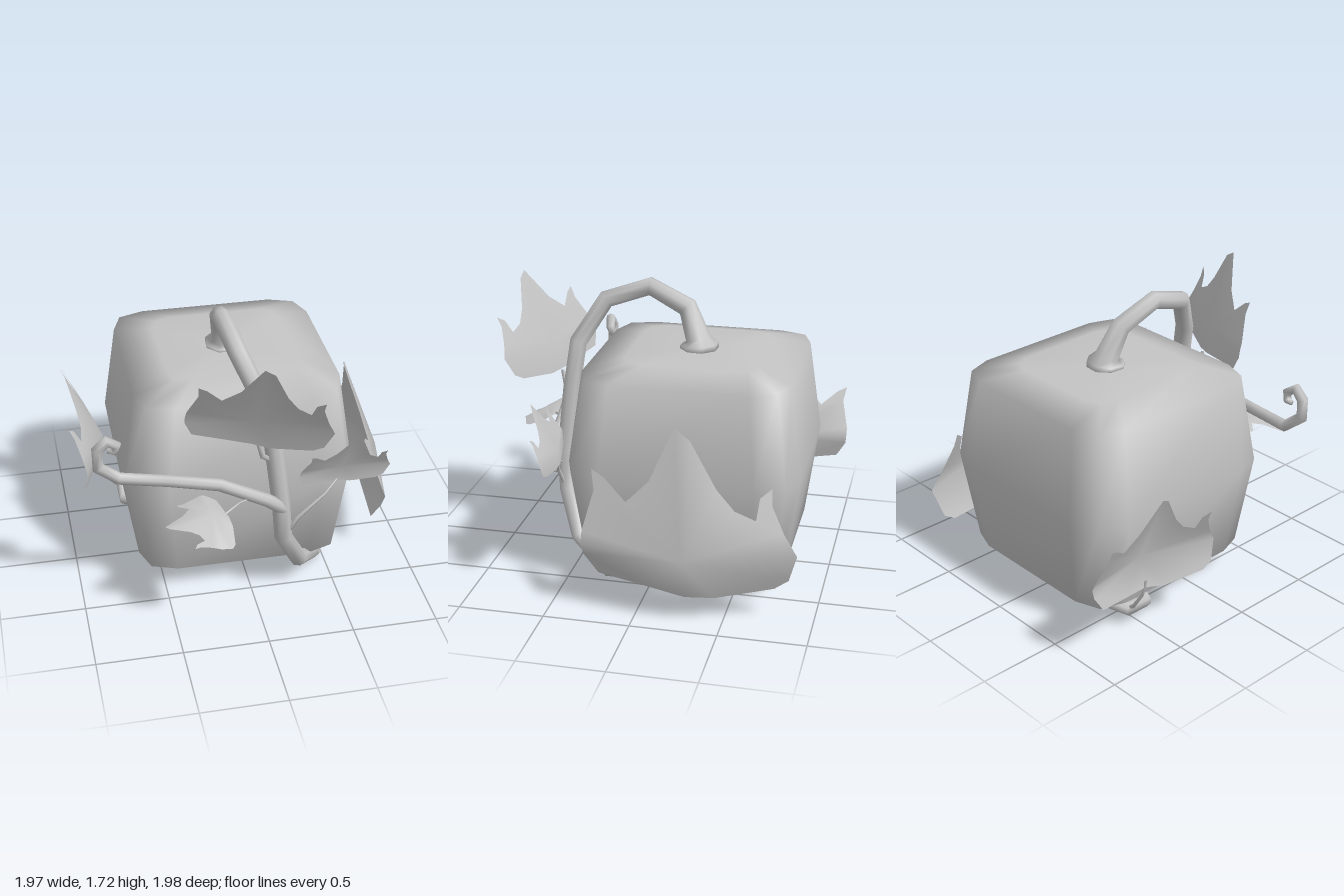
import * as THREE from 'three';
import { mergeGeometries, mergeVertices } from 'three/addons/utils/BufferGeometryUtils.js';

const V3 = (a) => new THREE.Vector3(a[0], a[1], a[2]);

// Skin a stack of equal-length closed rings, with a centre point closing each end
function skin(rings) {
  const n = rings[0].length, pos = [], idx = [];
  const mid = (ring) => ring.reduce((s, p) => s.add(p), new THREE.Vector3()).divideScalar(n);
  for (const ring of rings) for (const p of ring) pos.push(p.x, p.y, p.z);
  for (const ring of [rings[0], rings[rings.length - 1]]) pos.push(...mid(ring).toArray());
  const first = rings.length * n, top = (rings.length - 1) * n;
  for (let j = 0; j < n; j++) {
    const k = (j + 1) % n;
    for (let i = 0; i < rings.length - 1; i++) {
      const a = i * n + j, b = i * n + k;
      idx.push(a, b, b + n, a, b + n, a + n);
    }
    idx.push(first, k, j, first + 1, top + j, top + k);
  }
  const g = new THREE.BufferGeometry();
  g.setAttribute('position', new THREE.Float32BufferAttribute(pos, 3));
  g.setIndex(idx);
  g.computeVertexNormals();
  return g;
}

// Straight-segmented tube through [x, y, z, radius] points
function vineTube(pts, sides = 8) {
  const p = pts.map(V3), rings = [];
  const dir = new THREE.Vector3(), last = new THREE.Vector3();
  const side = new THREE.Vector3(), q = new THREE.Quaternion();
  p.forEach((c, i) => {
    dir.copy(p[Math.min(i + 1, p.length - 1)]).sub(p[Math.max(i - 1, 0)]).normalize();
    if (i === 0) side.set(0.31, 0.2, 0.93).cross(dir).normalize();
    else side.applyQuaternion(q.setFromUnitVectors(last, dir));
    last.copy(dir);
    rings.push(Array.from({ length: sides }, (_, j) =>
      side.clone().applyAxisAngle(dir, (j / sides) * Math.PI * 2).multiplyScalar(pts[i][3]).add(c)));
  });
  return skin(rings);
}

// Lobed leaf outline, in quarters around the hub at the origin
const leafQuarters = [
  [[0, 0], [1, 0], [0.87, 0.18], [0.75, 0.4], [0.74, 0.53], [0.64, 0.46], [0.62, 0.29], [0.43, 0.37], [0.26, 0.54], [0, 0.92]],
  [[0, 0], [0, 0.92], [-0.16, 1], [-0.36, 0.57], [-0.57, 0.38], [-0.8, 0.54], [-0.93, 0.59], [-0.89, 0.43], [-0.98, 0.1], [-0.98, 0]],
  [[0, 0], [-0.98, 0], [-0.97, -0.1], [-0.84, -0.29], [-0.36, -0.34], [0, -0.38]],
  [[0, 0], [0, -0.38], [0.26, -0.41], [0.79, -0.34], [0.92, -0.26], [1, 0]],
];

// Folded leaf: U runs across, V towards the tip, edges fall away against N, more on one side
function leafGeometry(hub, U, V, N) {
  const parts = leafQuarters.map((quarter) =>
    new THREE.ShapeGeometry(new THREE.Shape(quarter.map(([u, v]) => new THREE.Vector2(u, v)))));
  let g = mergeGeometries(parts);
  g.deleteAttribute('uv');
  g.deleteAttribute('normal');
  g = mergeVertices(g);
  const pos = g.attributes.position;
  for (let i = 0; i < pos.count; i++) {
    const u = pos.getX(i), v = pos.getY(i);
    const drop = (u < 0 ? 0.11 : 0.21) * Math.abs(u) + 0.25 * Math.abs(v);
    const p = V3(hub).addScaledVector(V3(U), u).addScaledVector(V3(V), v).addScaledVector(V3(N), -drop);
    pos.setXYZ(i, p.x, p.y, p.z);
  }
  g.computeVertexNormals();
  return g;
}

export function createModel() {
  const model = new THREE.Group();
  const grey = new THREE.MeshStandardMaterial({ color: 0xc4c4c4, side: THREE.DoubleSide });
  grey.name = 'pale grey';
  const add = (name, geometry) => {
    const mesh = new THREE.Mesh(geometry, grey);
    mesh.name = name;
    model.add(mesh);
  };

  // Square fruit with rounded corners, widest at the waist
  const corner = [[0.45, 0.68], [0.62, 0.62], [0.68, 0.45]];
  const square = [];
  for (let i = 0; i < 4; i++) {
    const c = [1, 0, -1, 0][i], s = [0, 1, 0, -1][i];
    for (const [x, z] of corner) square.push([x * c + z * s, z * c - x * s]);
  }
  const levels = [[0.13, 0.55], [0.16, 0.89], [0.72, 1], [1.265, 0.89], [1.32, 0.57]];
  add('fruit', skin(levels.map(([y, s]) =>
    square.map(([x, z]) => new THREE.Vector3(-0.03 + x * s, y, -0.18 + z * s)))));

  // Main vine: flared stem, over the front, then round underneath
  add('mainVine', vineTube([
    [-0.03, 1.31, -0.18, 0.115], [-0.03, 1.345, -0.18, 0.115], [-0.032, 1.37, -0.175, 0.075],
    [-0.07, 1.55, -0.1, 0.06], [-0.1, 1.655, 0.13, 0.055], [-0.06, 1.57, 0.39, 0.055],
    [0.05, 1.33, 0.535, 0.055], [0.11, 1.05, 0.565, 0.055], [0.15, 0.67, 0.6, 0.053],
    [0.17, 0.43, 0.585, 0.053], [0.29, 0.18, 0.48, 0.055], [0.43, 0.055, 0.27, 0.053],
    [0.49, 0.09, -0.1, 0.045], [0.47, 0.105, -0.42, 0.042], [0.32, 0.1, -0.57, 0.04],
    [-0.05, 0.1, -0.62, 0.038], [-0.4, 0.1, -0.61, 0.038], [-0.64, 0.115, -0.56, 0.044],
    [-0.64, 0.11, -0.44, 0.04], [-0.3, 0.1, -0.23, 0.015],
  ]));

  // Side branch ending in a curl
  add('curledBranch', vineTube([
    [0.16, 0.65, 0.61, 0.04], [0.05, 0.76, 0.67, 0.038], [-0.22, 0.9, 0.67, 0.036],
    [-0.5, 0.925, 0.61, 0.034], [-0.77, 0.945, 0.56, 0.035], [-0.885, 1.04, 0.57, 0.035],
    [-0.885, 1.15, 0.57, 0.034], [-0.83, 1.205, 0.57, 0.032], [-0.775, 1.165, 0.56, 0.028],
    [-0.79, 1.12, 0.55, 0.024], [-0.825, 1.125, 0.54, 0.016],
  ]));

  // Thin stalks joining leaves to the vine
  const stalks = {
    topLeafStalk: [[0.1, 0.96, 0.57, 0.018], [0.03, 1.03, 0.62, 0.016], [0, 1.13, 0.65, 0.012]],
    frontLeftLeafStalk: [[0.2, 0.48, 0.6, 0.014], [0.25, 0.58, 0.62, 0.012], [0.42, 0.69, 0.57, 0.009], [0.5, 0.75, 0.52, 0.006]],
    frontRightLeafStalk: [[-0.02, 0.8, 0.67, 0.006], [-0.12, 0.79, 0.71, 0.007], [-0.22, 0.76, 0.77, 0.008]],
    leftLeafStalk: [[0.48, 0.12, -0.35, 0.014], [0.68, 0.135, -0.34, 0.011], [0.87, 0.17, -0.33, 0.008]],
    rightLeafStalk: [[-0.6, 0.1, -0.55, 0.014], [-0.68, 0.15, -0.57, 0.012], [-0.77, 0.28, -0.58, 0.01], [-0.79, 0.38, -0.57, 0.008]],
  };
  for (const [name, pts] of Object.entries(stalks)) add(name, vineTube(pts, 5));

  // Leaves: hub, across, towards tip, bulge
  const leaves = {
    leftLeaf: [[0.98, 0.42, -0.29], [0, 0, -0.61], [0, 0.68, 0], [1, 0, 0]],
    rightLeaf: [[-0.74, 0.52, -0.57], [0, 0, 0.43], [-0.06, 0.49, 0], [0.7, 0, 0]],
    topLeaf: [[-0.015, 1.3, 0.69], [0.385, 0, 0.155], [0.06, 0.43, 0.16], [0, 0, -0.2]],
    frontLeftLeaf: [[0.53, 0.84, 0.53], [0.275, -0.01, -0.03], [0.06, 0.265, 0.08], [0, 0, -0.25]],
    frontRightLeaf: [[-0.29, 0.8, 0.79], [0.02, -0.03, 0.2], [-0.26, 0.03, 0.03], [0, 0.35, 0]],
  };
  for (const [name, frame] of Object.entries(leaves)) add(name, leafGeometry(...frame));

  return model;
}
